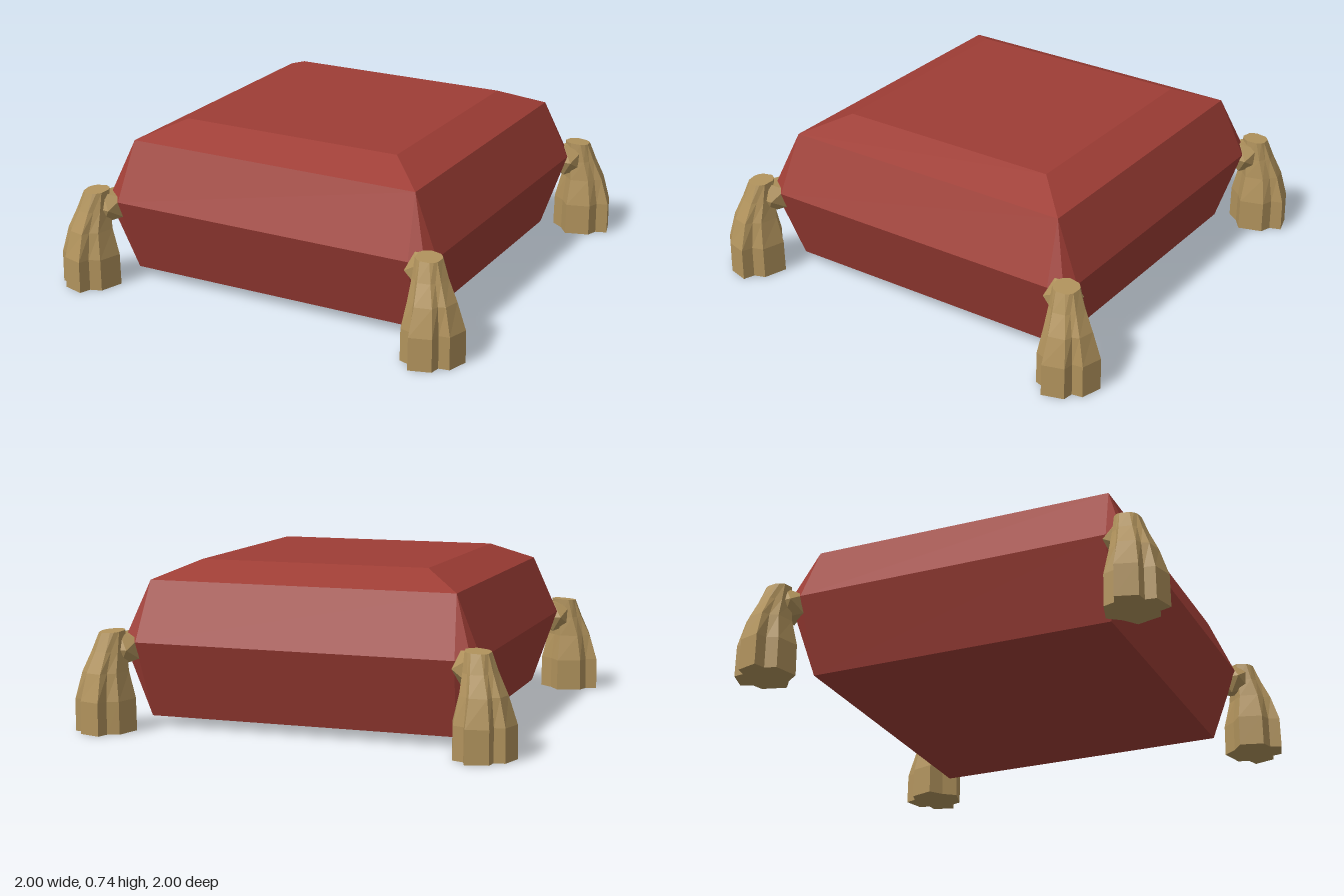
import * as THREE from 'three';

// Faceted solid lofted through closed rings of [x, y, z] points, listed bottom to top, with end caps
function loft(rings, material, name) {
  const pos = [];
  const n = rings[0].length;
  const tri = (a, b, c) => pos.push(...a, ...b, ...c);
  for (let r = 0; r < rings.length - 1; r++) {
    for (let i = 0; i < n; i++) {
      const j = (i + 1) % n;
      const [a, b, c, d] = [rings[r][i], rings[r][j], rings[r + 1][i], rings[r + 1][j]];
      tri(a, c, b);
      tri(b, c, d);
    }
  }
  const centre = (ring) => [0, 1, 2].map((k) => ring.reduce((s, p) => s + p[k], 0) / n);
  const low = rings[0], high = rings[rings.length - 1];
  const lowMid = centre(low), highMid = centre(high);
  for (let i = 0; i < n; i++) {
    const j = (i + 1) % n;
    tri(lowMid, low[i], low[j]);
    tri(highMid, high[j], high[i]);
  }
  const geometry = new THREE.BufferGeometry();
  geometry.setAttribute('position', new THREE.Float32BufferAttribute(pos, 3));
  geometry.computeVertexNormals();
  const mesh = new THREE.Mesh(geometry, material);
  mesh.name = name;
  return mesh;
}

// Square ring with three points per corner; side and corner give its half sizes
function squareRing(y, side, corner = side, inset = side) {
  const pts = [];
  for (let q = 0; q < 4; q++) {
    const c = Math.round(Math.cos(q * Math.PI / 2)), s = Math.round(Math.sin(q * Math.PI / 2));
    for (const [x, z] of [[side, inset], [corner, corner], [inset, side]]) {
      pts.push([x * c - z * s, y, x * s + z * c]);
    }
  }
  return pts;
}

// Half of the frayed skirt outline: angle from the outward diagonal, radius
const half = [[18, 0.125], [61, 0.145], [78, 0.105], [102, 0.13], [150, 0.145]];
const outline = [[0, 0.09], ...half, [180, 0.115], ...half.map(([a, r]) => [360 - a, r]).reverse()];

// Tassel ring centred on the diagonal at x = z = c; fray blends from round (0) to the full outline (1)
function tasselRing(y, c, radius, fray, tilt = 0) {
  return outline.map(([deg, r]) => {
    const a = THREE.MathUtils.degToRad(deg);
    const rad = radius * (fray * r / 0.14 + 1 - fray);
    const w = a + Math.PI / 4;
    return [c + Math.cos(w) * rad, y + tilt * Math.cos(a), c + Math.sin(w) * rad];
  });
}

export function createModel() {
  const red = new THREE.MeshStandardMaterial({ color: 0x9e3d35 });
  red.name = 'red cloth';
  const gold = new THREE.MeshStandardMaterial({ color: 0xb0925c });
  gold.name = 'gold thread';
  for (const m of [red, gold]) m.flatShading = true;

  const model = new THREE.Group();
  model.name = 'cushion with tassels';

  // Pillow body with a bevelled top and slightly blunted corners at the seam
  model.add(loft([
    squareRing(0.05, 0.7),
    squareRing(0.395, 0.815, 0.79, 0.725),
    squareRing(0.66, 0.7),
    squareRing(0.74, 0.525),
  ], red, 'cushion'));

  // One tassel per corner
  for (let i = 0; i < 4; i++) {
    const tassel = new THREE.Group();
    tassel.name = 'tassel' + (i + 1);
    tassel.add(loft([
      tasselRing(0.005, 0.86, 0.14, 1),
      tasselRing(0.15, 0.86, 0.138, 1),
      tasselRing(0.27, 0.855, 0.105, 0.7),
      tasselRing(0.36, 0.84, 0.078, 0.4),
      tasselRing(0.445, 0.828, 0.058, 0, -0.005),
    ], gold, 'skirt'));

    // Knot tying the tassel to the cushion corner
    const knot = new THREE.Mesh(new THREE.IcosahedronGeometry(0.085, 0), gold);
    knot.name = 'knot';
    knot.position.set(0.79, 0.365, 0.79);
    tassel.add(knot);

    tassel.rotation.y = i * Math.PI / 2;
    model.add(tassel);
  }
  return model;
}
